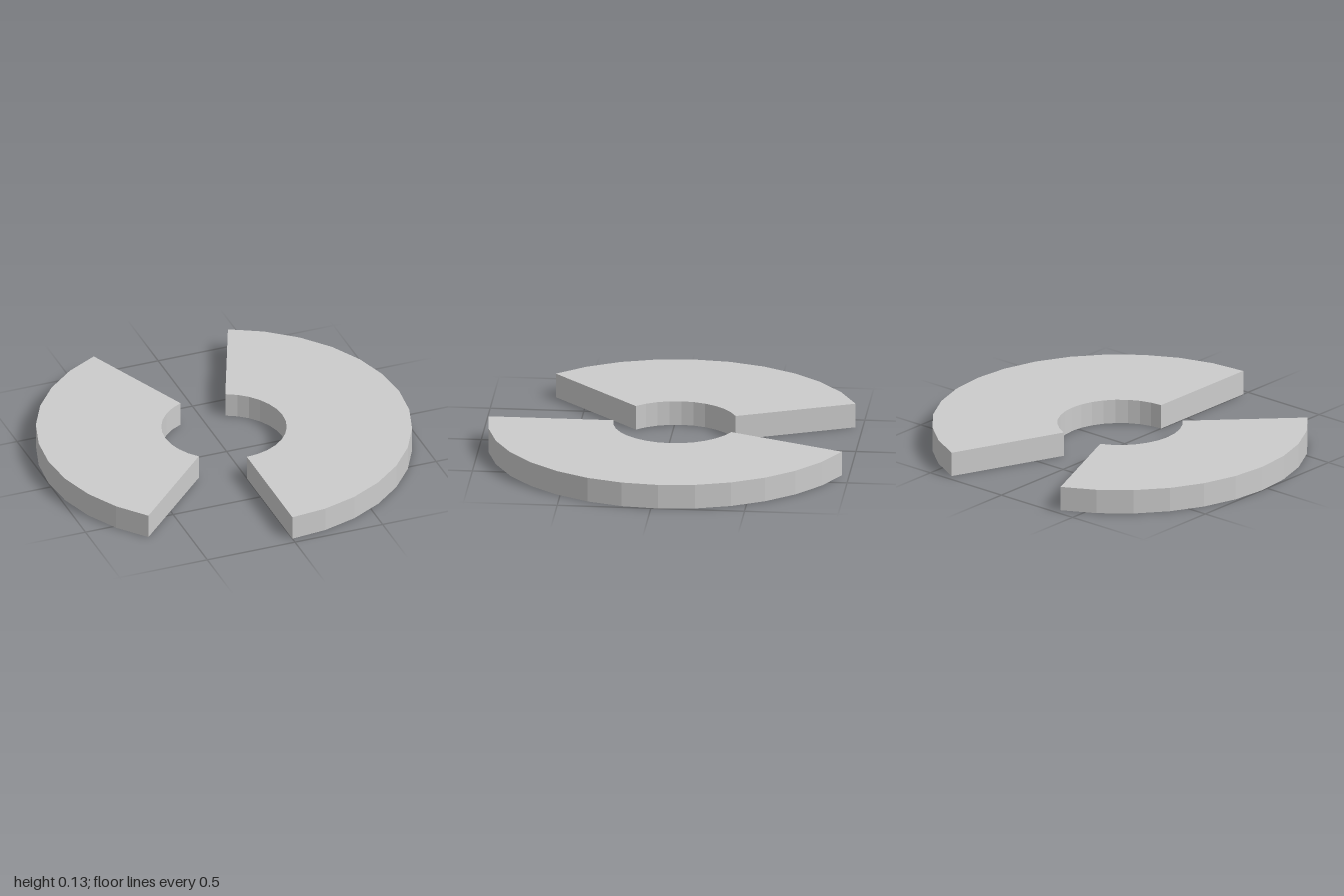
import * as THREE from 'three';

const OUTER = 1, INNER = 1 / 3, HEIGHT = 0.133, STEP = 11.25, CENTRE_Z = -0.038;

// Ring sector from one angle to another, in degrees counter-clockwise seen from above
function ringSector(name, from, to, material) {
  const steps = Math.round((to - from) / STEP);
  const at = (radius, i) => {
    const a = THREE.MathUtils.degToRad(from + i * STEP);
    return new THREE.Vector2(radius * Math.cos(a), radius * Math.sin(a));
  };
  const points = [];
  for (let i = 0; i <= steps; i++) points.push(at(OUTER, i));
  for (let i = steps; i >= 0; i--) points.push(at(INNER, i));
  const geometry = new THREE.ExtrudeGeometry(new THREE.Shape(points), { depth: HEIGHT, bevelEnabled: false });
  geometry.rotateX(-Math.PI / 2);
  const mesh = new THREE.Mesh(geometry, material);
  mesh.name = name;
  mesh.position.z = CENTRE_Z;
  return mesh;
}

export function createModel() {
  const group = new THREE.Group();
  group.name = 'splitRing';
  const material = new THREE.MeshStandardMaterial({ color: 0xcccccc, flatShading: true });
  // Larger sector on the left (+x), smaller one on the right (-x)
  group.add(ringSector('largeRingSector', -90, 67.5, material));
  group.add(ringSector('smallRingSector', 112.5, 225, material));
  return group;
}
